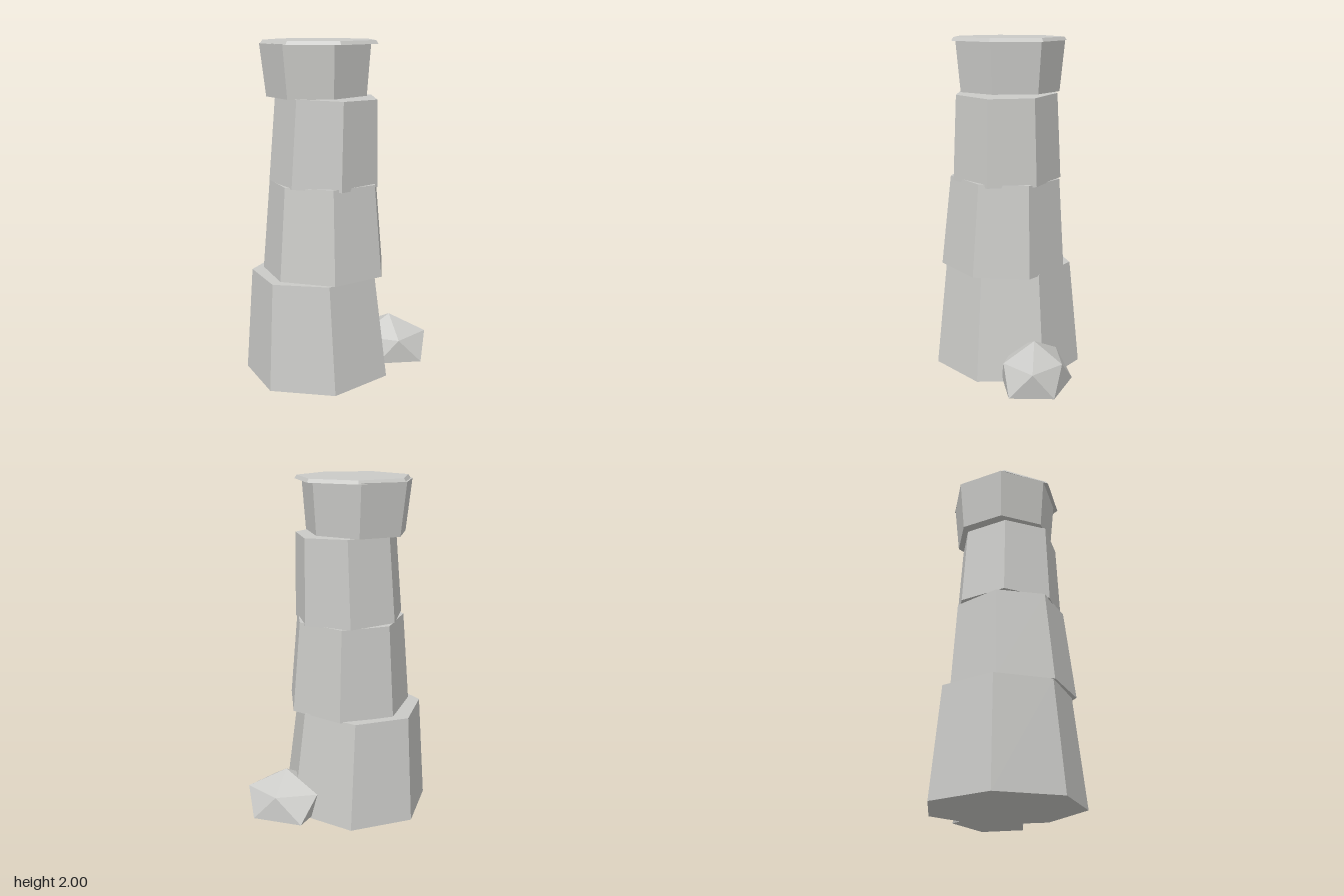
import * as THREE from 'three';
import { ConvexGeometry } from 'three/addons/geometries/ConvexGeometry.js';

export function createModel() {
  const model = new THREE.Group();
  model.name = 'stoneTower';
  const stone = new THREE.MeshStandardMaterial({ color: 0xcacac7, flatShading: true });
  stone.name = 'stone grey';

  const add = (name, geometry) => {
    const mesh = new THREE.Mesh(geometry, stone);
    mesh.name = name;
    model.add(mesh);
    return mesh;
  };

  // Seven-sided tapered blocks, each slightly turned, shifted and tilted
  const blocks = [
    // name, top radius, bottom radius, height, turn in degrees, centre, tilt x, tilt z
    ['baseBlock', 0.385, 0.45, 0.635, 19, [-0.112, 0.331, 0.011], 0, 0.03],
    ['lowerBlock', 0.328, 0.375, 0.538, 15.1, [-0.061, 0.924, 0.028], -0.025, 0.005],
    ['upperBlock', 0.3, 0.325, 0.498, 23.6, [-0.055, 1.436, 0.018], 0, -0.035],
    ['flaredBlock', 0.325, 0.296, 0.298, 24.5, [-0.107, 1.837, 0.003], 0, 0.018],
    ['capSlab', 0.327, 0.341, 0.02, 25.7, [-0.087, 1.99, 0.01], 0, 0],
  ];
  for (const [name, top, bottom, height, turn, centre, tiltX, tiltZ] of blocks) {
    const geometry = new THREE.CylinderGeometry(
      top, bottom, height, 7, 1, false, THREE.MathUtils.degToRad(turn));
    const block = add(name, geometry);
    block.position.set(...centre);
    block.rotation.set(tiltX, 0, tiltZ);
  }

  // Faceted boulder with a flat underside: apex, middle ring, bottom ring
  const corners = [
    [0.32, 0.295, -0.173],
    [0.547, 0.19, -0.173], [0.39, 0.183, 0], [0.14, 0.18, -0.05],
    [0.14, 0.18, -0.297], [0.385, 0.185, -0.335],
    [0.528, 0.035, -0.04], [0.517, 0.035, -0.295], [0.24, 0.035, -0.395],
    [0.1, 0.035, -0.17], [0.26, 0.035, 0.02],
  ];
  add('boulder', new ConvexGeometry(corners.map((p) => new THREE.Vector3(...p))));

  return model;
}
